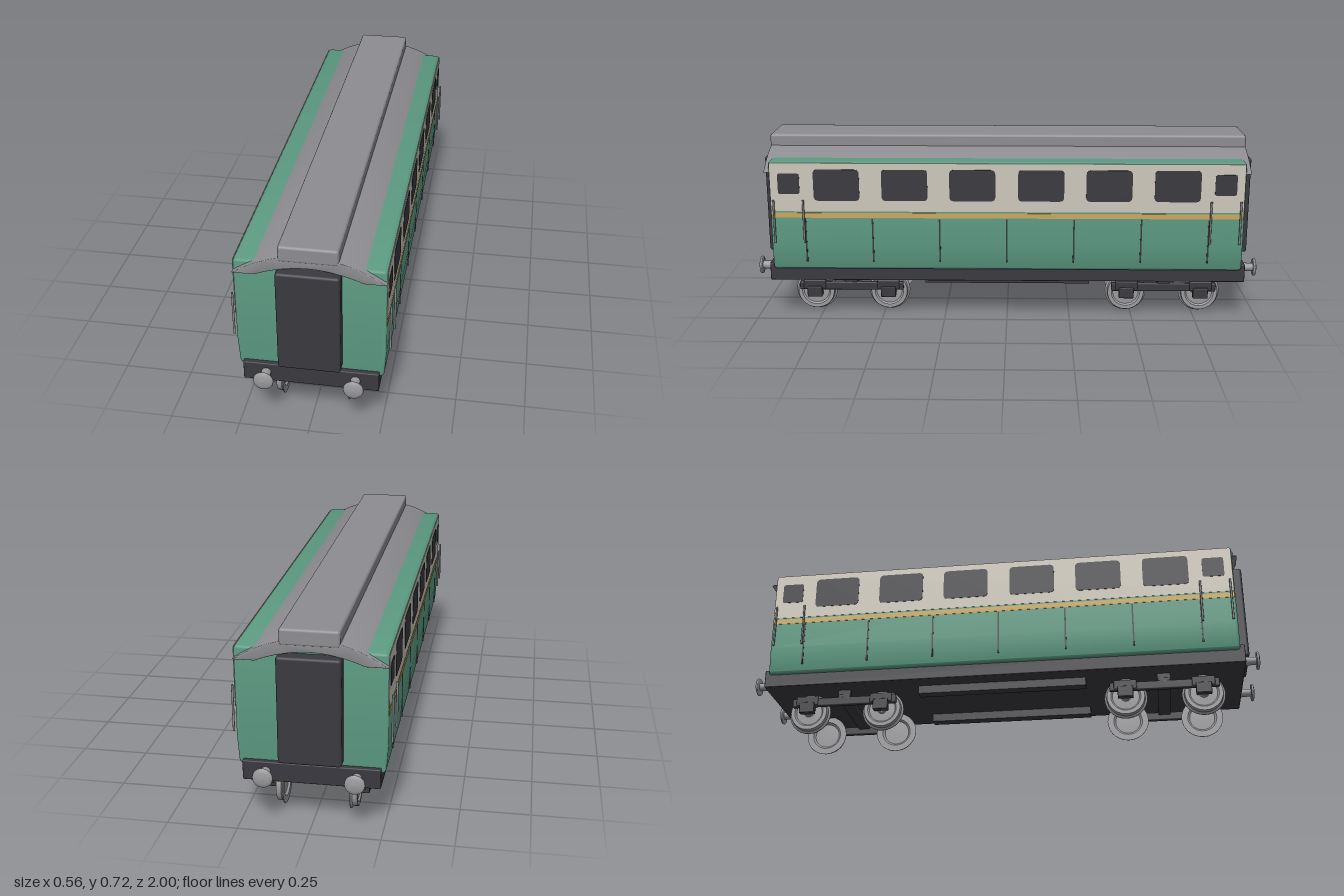
import * as THREE from 'three';
import { toCreasedNormals } from 'three/addons/utils/BufferGeometryUtils.js';
import { RoundedBoxGeometry } from 'three/addons/geometries/RoundedBoxGeometry.js';

const paint = (name, color) => {
  const m = new THREE.MeshStandardMaterial({ color });
  m.name = name;
  return m;
};

export function createModel() {
  const green = paint('coach green', 0x5c9a82);
  const cream = paint('cream', 0xcdc8bb);
  const gold = paint('gold', 0xcba95e);
  const roofGrey = paint('roof grey', 0x8d8d91);
  const steel = paint('steel', 0x9b9b9e);
  const dark = paint('charcoal', 0x3a393f);

  const coach = new THREE.Group();
  coach.name = 'railwayCoach';

  const add = (name, geo, mat, x = 0, y = 0, z = 0, parent = coach) => {
    const mesh = new THREE.Mesh(geo, mat);
    mesh.name = name;
    mesh.position.set(x, y, z);
    parent.add(mesh);
    return mesh;
  };
  const box = (w, h, d) => new THREE.BoxGeometry(w, h, d);
  const rbox = (w, h, d, r) => new RoundedBoxGeometry(w, h, d, 3, r);

  // Extrude a cross-section along z between -half and +half, with rounded ends
  const alongZ = (shape, half, bevel) => {
    const geo = new THREE.ExtrudeGeometry(shape, {
      depth: 2 * (half - bevel), bevelEnabled: true, bevelThickness: bevel,
      bevelSize: bevel, bevelOffset: -bevel, bevelSegments: 3, curveSegments: 16,
    });
    geo.translate(0, 0, -(half - bevel));
    return toCreasedNormals(geo, 0.6);
  };

  // Rounded plate lying on a side wall; width runs along z
  const plate = (w, h, r, t, side) => {
    const s = new THREE.Shape();
    const a = w / 2, b = h / 2;
    s.moveTo(-a + r, -b);
    s.lineTo(a - r, -b); s.quadraticCurveTo(a, -b, a, -b + r);
    s.lineTo(a, b - r); s.quadraticCurveTo(a, b, a - r, b);
    s.lineTo(-a + r, b); s.quadraticCurveTo(-a, b, -a, b - r);
    s.lineTo(-a, -b + r); s.quadraticCurveTo(-a, -b, -a + r, -b);
    const geo = new THREE.ExtrudeGeometry(s, { depth: t, bevelEnabled: false, curveSegments: 5 });
    return geo.rotateY(side * Math.PI / 2);
  };

  // Body shell, tucked in slightly at the bottom
  const body = new THREE.Shape();
  body.moveTo(-0.238, 0.21);
  body.lineTo(0.238, 0.21);
  body.quadraticCurveTo(0.254, 0.21, 0.256, 0.228);
  body.lineTo(0.262, 0.32);
  body.lineTo(0.262, 0.632);
  body.quadraticCurveTo(0.262, 0.647, 0.247, 0.647);
  body.lineTo(-0.247, 0.647);
  body.quadraticCurveTo(-0.262, 0.647, -0.262, 0.632);
  body.lineTo(-0.262, 0.32);
  body.lineTo(-0.256, 0.228);
  body.quadraticCurveTo(-0.254, 0.21, -0.238, 0.21);
  add('body', alongZ(body, 0.922, 0.01), green);

  // Arched roof with a hollow underside, and the raised clerestory
  const roof = new THREE.Shape();
  roof.moveTo(0.262, 0.604);
  roof.quadraticCurveTo(0.14, 0.69, 0, 0.69);
  roof.quadraticCurveTo(-0.14, 0.69, -0.262, 0.604);
  roof.lineTo(-0.185, 0.604);
  roof.quadraticCurveTo(-0.09, 0.643, 0, 0.643);
  roof.quadraticCurveTo(0.09, 0.643, 0.185, 0.604);
  roof.closePath();
  add('roof', alongZ(roof, 0.941, 0.003), roofGrey);
  add('clerestory', rbox(0.206, 0.06, 1.886, 0.01), roofGrey, 0, 0.693, 0);

  // Underframe
  add('underframe', rbox(0.48, 0.072, 1.88, 0.004), dark, 0, 0.196, 0);

  // Side walls: upper panel, stripe, windows, panel lines, handrails, battery boxes
  for (const s of [1, -1]) {
    add('upperPanel', plate(1.836, 0.192, 0.008, 0.002, s), cream, s * 0.2615, 0.546, 0);
    add('stripe', plate(1.836, 0.02, 0.001, 0.002, s), gold, s * 0.2615, 0.434, 0);
    for (const e of [1, -1]) {
      for (const z of [0.133, 0.396, 0.66])
        add('window', plate(0.178, 0.124, 0.018, 0.004, s), dark, s * 0.261, 0.555, e * z);
      add('smallWindow', plate(0.084, 0.082, 0.01, 0.004, s), dark, s * 0.261, 0.56, e * 0.845);
      for (const z of [0.79, 0.905])
        add('handrail', new THREE.CylinderGeometry(0.004, 0.004, 0.172, 8), roofGrey, s * 0.274, 0.411, e * z);
    }
    for (let i = -3; i <= 3; i++)
      add('panelLine', box(0.006, 0.175, 0.006), dark, s * 0.26, 0.332, i * 0.262);
    add('batteryBox', box(0.042, 0.04, 0.66), dark, s * 0.151, 0.148, 0);
  }

  // Ends: gangway bellows and buffers
  const bufferHead = new THREE.LatheGeometry([
    [0, -0.006], [0.033, -0.006], [0.036, -0.002], [0.034, 0.003], [0.02, 0.007], [0, 0.009],
  ].map(([r, y]) => new THREE.Vector2(r, y)), 24);
  for (const e of [1, -1]) {
    add('gangway', rbox(0.22, 0.389, 0.08, 0.01), dark, 0, 0.4375, e * 0.928);
    for (const s of [1, -1]) {
      const shank = add('bufferShank', new THREE.CylinderGeometry(0.015, 0.018, 0.06, 16), steel, s * 0.158, 0.197, e * 0.96);
      shank.rotation.x = e * Math.PI / 2;
      const head = add('bufferHead', bufferHead, steel, s * 0.158, 0.197, e * 0.991);
      head.rotation.x = e * Math.PI / 2;
    }
  }

  // Bogies: bolster, side frames, axle boxes and flanged wheels
  const wheelGeo = toCreasedNormals(new THREE.LatheGeometry([
    [0, -0.008], [0.05, -0.006], [0.058, -0.014], [0.083, -0.014], [0.083, -0.011], [0.075, -0.005],
    [0.073, 0.013], [0.058, 0.013], [0.052, 0.007], [0.02, 0.009], [0.015, 0.014], [0, 0.014],
  ].map(([r, y]) => new THREE.Vector2(r, y)), 28), 0.6);
  for (const e of [1, -1]) {
    const bogie = new THREE.Group();
    bogie.name = e > 0 ? 'frontBogie' : 'rearBogie';
    bogie.position.z = e * 0.63;
    coach.add(bogie);
    add('bolster', rbox(0.345, 0.024, 0.05, 0.006), dark, 0, 0.13, 0, bogie);
    for (const s of [1, -1]) {
      add('sideFrame', rbox(0.018, 0.034, 0.42, 0.005), dark, s * 0.165, 0.113, 0, bogie);
      add('springHanger', box(0.01, 0.05, 0.05), dark, s * 0.165, 0.148, 0, bogie);
      for (const z of [-0.149, 0.149]) {
        add('axleBox', rbox(0.028, 0.044, 0.06, 0.004), dark, s * 0.169, 0.09, z, bogie);
        add('axleGuard', rbox(0.02, 0.04, 0.09, 0.006), dark, s * 0.167, 0.119, z, bogie);
        const wheel = add('wheel', wheelGeo, steel, s * 0.132, 0.083, z, bogie);
        wheel.rotation.z = -s * Math.PI / 2;
      }
    }
  }

  return coach;
}
